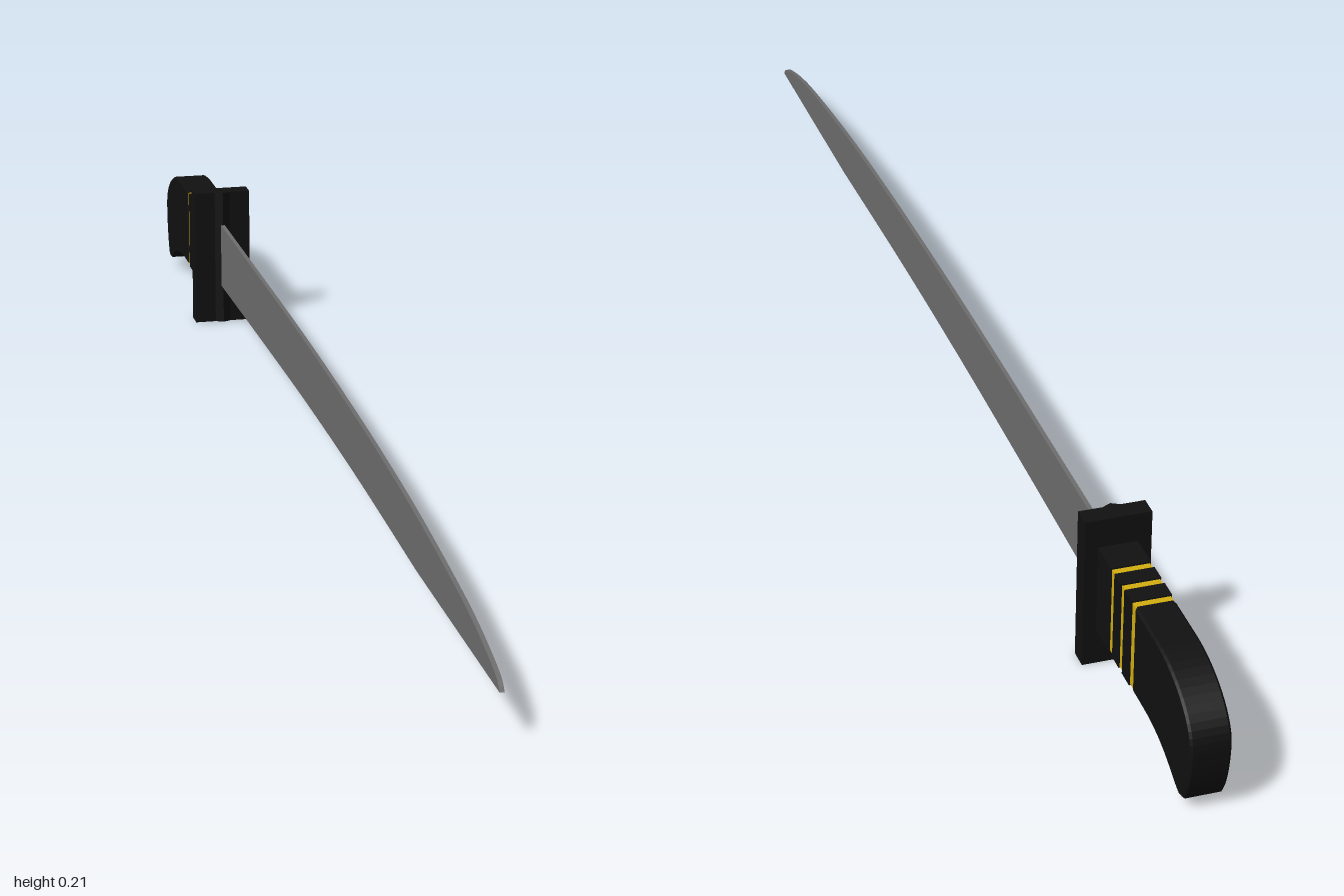
import * as THREE from 'three';

const black = new THREE.MeshStandardMaterial({ color: 0x111111 });
const gold = new THREE.MeshStandardMaterial({ color: 0xd4af10 });
const steel = new THREE.MeshStandardMaterial({ color: 0x6e6e6e });

// Side outline in (z, y), extruded across x and centred on x = 0
function sidePlate(name, shape, width, material, bevel = 0) {
  const geo = new THREE.ExtrudeGeometry(shape, {
    depth: width - 2 * bevel, curveSegments: 14,
    bevelEnabled: bevel > 0, bevelSize: bevel, bevelThickness: bevel,
    bevelOffset: -bevel, bevelSegments: 1,
  });
  geo.translate(0, 0, -width / 2 + bevel);
  geo.rotateY(-Math.PI / 2);
  const mesh = new THREE.Mesh(geo, material);
  mesh.name = name;
  return mesh;
}

function block(name, z0, z1, y0, y1, width, material) {
  const mesh = new THREE.Mesh(new THREE.BoxGeometry(width, y1 - y0, z1 - z0), material);
  mesh.position.set(0, (y0 + y1) / 2, (z0 + z1) / 2);
  mesh.name = name;
  return mesh;
}

const points = (list) => list.map(([a, b]) => new THREE.Vector2(a, b));

export function createModel() {
  const sword = new THREE.Group();
  sword.name = 'sword';

  // Blade: gently curved cutting edge and a spine sweeping down to the tip
  const blade = new THREE.Shape();
  blade.moveTo(-0.65, 0.06);
  blade.splineThru(points([[-0.3, 0.067], [0, 0.071], [0.3, 0.069], [0.62, 0.06]]));
  blade.lineTo(1, 0.06);
  blade.splineThru(points([[0.98, 0.075], [0.9, 0.096], [0.8, 0.112], [0.6, 0.133],
    [0.4, 0.146], [0.2, 0.154], [0, 0.159], [-0.2, 0.161]]));
  blade.lineTo(-0.65, 0.161);
  sword.add(sidePlate('blade', blade, 0.006, steel));

  // Guard: upright plate with a very shallow ridge down its front
  const section = new THREE.Shape(points([
    [-0.044, 0.668], [-0.044, 0.641], [-0.012, 0.641], [0, 0.635],
    [0.012, 0.641], [0.044, 0.641], [0.044, 0.668]]));
  const guardGeo = new THREE.ExtrudeGeometry(section, { depth: 0.214, bevelEnabled: false });
  guardGeo.rotateX(-Math.PI / 2);
  const guard = new THREE.Mesh(guardGeo, black);
  guard.name = 'guard';
  sword.add(guard);

  // Handle collars alternating with slightly recessed gold bands
  const bands = [-0.722, -0.758, -0.796];
  const half = 0.006;
  let front = -0.66;
  for (const z of bands) {
    sword.add(block('handleCollar', z + half, front, 0.05, 0.174, 0.052, black));
    sword.add(block('goldBand', z - half, z + half, 0.052, 0.172, 0.049, gold));
    front = z - half;
  }

  // Grip: bends down into a hooked pommel
  const grip = new THREE.Shape();
  grip.moveTo(front, 0.174);
  grip.lineTo(-0.875, 0.174);
  grip.bezierCurveTo(-0.94, 0.174, -1, 0.14, -1, 0.1);
  grip.bezierCurveTo(-1, 0.07, -0.992, 0.035, -0.98, 0.018);
  grip.lineTo(-0.968, 0.015);
  grip.bezierCurveTo(-0.94, 0.022, -0.915, 0.05, -0.84, 0.05);
  grip.lineTo(front, 0.05);
  sword.add(sidePlate('grip', grip, 0.052, black, 0.003));

  return sword;
}
